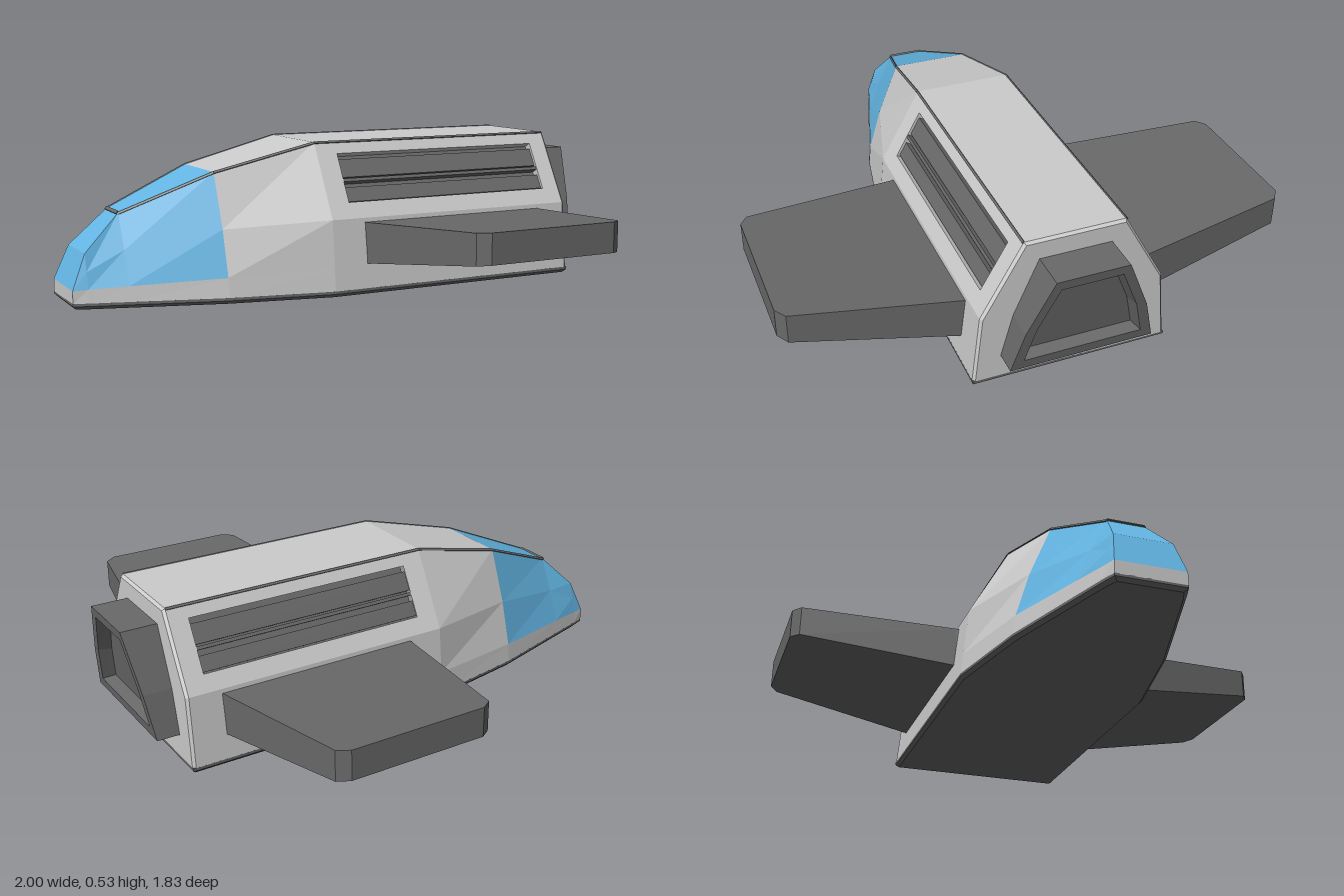
import * as THREE from 'three';

const mat = (color) => new THREE.MeshStandardMaterial({ color, flatShading: true });
const V = (x, y, z) => new THREE.Vector3(x, y, z);

function add(parent, name, geometry, material) {
  const mesh = new THREE.Mesh(geometry, material);
  mesh.name = name;
  parent.add(mesh);
  return mesh;
}

// Triangles given as a flat list of corner vectors
function fromTriangles(corners) {
  const geo = new THREE.BufferGeometry().setFromPoints(corners);
  geo.computeVertexNormals();
  return geo;
}

// Closed solid through equal-length rings, capped at both ends and turned outward
function loft(rings) {
  const t = [], n = rings[0].length, last = rings[rings.length - 1];
  for (let i = 0; i < rings.length - 1; i++) {
    for (let j = 0; j < n; j++) {
      const k = (j + 1) % n;
      const a = rings[i][j], b = rings[i + 1][j], c = rings[i + 1][k], d = rings[i][k];
      t.push(a, b, c, a, c, d);
    }
  }
  for (let j = 1; j < n - 1; j++) {
    t.push(rings[0][0], rings[0][j], rings[0][j + 1]);
    t.push(last[0], last[j + 1], last[j]);
  }
  let volume = 0;
  for (let i = 0; i < t.length; i += 3) volume += t[i].dot(t[i + 1].clone().cross(t[i + 2]));
  if (volume < 0) t.reverse();
  return fromTriangles(t);
}

// Thin square bar between two points
function rod(parent, name, a, b, radius, material) {
  const d = b.clone().sub(a);
  const bar = add(parent, name, new THREE.CylinderGeometry(radius, radius, d.length(), 4), material);
  bar.position.copy(a).add(b).multiplyScalar(0.5);
  bar.quaternion.setFromUnitVectors(V(0, 1, 0), d.normalize());
}

// Hull stations from nose to tail: x, then [half width, y] for base, sill, shoulder and roof
const STATIONS = [
  [-1.0, [0.12, 0.02], [0.12, 0.065], [0.12, 0.065], [0.12, 0.065]],
  [-0.95, [0.137, 0.02], [0.133, 0.068], [0.118, 0.125], [0.1, 0.185]],
  [-0.82, [0.176, 0.02], [0.171, 0.075], [0.124, 0.19], [0.065, 0.31]],
  [-0.5, [0.272, 0.02], [0.264, 0.09], [0.217, 0.25], [0.14, 0.44]],
  [-0.13, [0.345, 0.02], [0.337, 0.1], [0.32, 0.27], [0.175, 0.53]],
  [0.86, [0.345, 0.02], [0.337, 0.1], [0.32, 0.27], [0.175, 0.53]],
  [0.87, [0.337, 0.02], [0.329, 0.1], [0.312, 0.268], [0.17, 0.522]],
];

function buildHull(group, hullMat, glassMat) {
  const rings = STATIONS.map(([x, ...pts]) => [
    ...pts.map(([w, y]) => V(x, y, w)),
    ...pts.slice().reverse().map(([w, y]) => V(x, y, -w)),
  ]);
  const hull = [], glass = [], n = 8;
  for (let i = 0; i < rings.length - 1; i++) {
    for (let j = 0; j < n; j++) {
      if (i === 4 && (j === 2 || j === 4)) continue; // filled by the vent panels
      const k = (j + 1) % n;
      const a = rings[i][j], b = rings[i + 1][j], c = rings[i + 1][k], d = rings[i][k];
      (i < 3 && j >= 1 && j <= 5 ? glass : hull).push(a, b, c, a, c, d);
    }
  }
  const nose = rings[0], tail = rings[rings.length - 1];
  for (let j = 1; j < n - 1; j++) {
    hull.push(nose[0], nose[j], nose[j + 1], tail[0], tail[j + 1], tail[j]);
  }
  add(group, 'hull', fromTriangles(hull), hullMat);
  add(group, 'cockpitGlass', fromTriangles(glass), glassMat);
}

// Sloping upper side panel with a recessed louvred vent; s is the side (+1 or -1 in z)
function buildVent(s, hullMat, darkMat) {
  const vent = new THREE.Group();
  vent.name = s > 0 ? 'ventPanelFront' : 'ventPanelBack';
  const rise = V(0, 0.26, -0.145 * s), length = rise.length();
  const along = V(s, 0, 0), up = rise.normalize();
  const out = along.clone().cross(up);
  vent.applyMatrix4(new THREE.Matrix4().makeBasis(along, up, out).setPosition(0, 0.27, 0.32 * s));

  const rect = (Type, x0, x1, y0, y1) => new Type(
    [[x0, y0], [x1, y0], [x1, y1], [x0, y1]].map(([x, y]) => new THREE.Vector2(x * s, y)));
  const shape = rect(THREE.Shape, -0.13, 0.86, 0, length);
  shape.holes.push(rect(THREE.Path, -0.05, 0.79, 0.062, 0.25));
  const panel = new THREE.ExtrudeGeometry(shape, { depth: 0.04, bevelEnabled: false });
  add(vent, 'panel', panel.translate(0, 0, -0.04), hullMat);

  const slab = (name, y, z, h, d) =>
    add(vent, name, new THREE.BoxGeometry(0.85, h, d), darkMat).position.set(0.37 * s, y, z);
  slab('ventFloor', 0.156, -0.035, 0.2, 0.01);
  slab('ventSlat', 0.148, -0.018, 0.012, 0.03);
  slab('ventSlat', 0.196, -0.02, 0.07, 0.02);
  slab('ventSlat', 0.095, -0.02, 0.055, 0.02);
  return vent;
}

export function createModel() {
  const group = new THREE.Group();
  const hullMat = mat(0xcccccc), darkMat = mat(0x696969), glassMat = mat(0x63b5e3);

  buildHull(group, hullMat, glassMat);

  // Dark keel plate, chamfered towards the bottom
  const outline = (y, inset) => {
    const side = STATIONS.filter((st) => st[0] !== 0.86).map(([x, [w]], i, all) => {
      const dx = i === 0 ? inset : i === all.length - 1 ? -inset : 0;
      return [x + dx, (x > 0.8 ? 0.345 : w) - inset];
    });
    return [...side.map(([x, w]) => V(x, y, w)), ...side.reverse().map(([x, w]) => V(x, y, -w))];
  };
  add(group, 'keelPlate', loft([outline(0, 0.012), outline(0.012, 0), outline(0.022, 0)]), darkMat);

  for (const s of [1, -1]) {
    group.add(buildVent(s, hullMat, darkMat));

    // Roof seam from the windscreen to the tail
    for (let i = 2; i < 5; i++) {
      const [p, q] = [STATIONS[i], STATIONS[i + 1]].map(([x, , , , [w, y]]) => V(x, y - 0.003, w * s));
      rod(group, 'roofSeam', p, q, 0.006, darkMat);
    }

    // Wing: sections are z, x start, x end, bottom, top
    const sections = [
      [0.2, -0.035, 0.775, 0.09, 0.246],
      [0.33, 0.0, 0.74, 0.108, 0.255],
      [0.885, 0.087, 0.655, 0.186, 0.293],
      [0.913, 0.127, 0.615, 0.19, 0.295],
    ];
    add(group, s > 0 ? 'wingFront' : 'wingBack', loft(sections.map(([z, x0, x1, y0, y1]) =>
      [V(x0, y0, z * s), V(x1, y0, z * s), V(x1, y1, z * s), V(x0, y1, z * s)])), darkMat);
  }
  rod(group, 'windscreenBar', V(-0.82, 0.308, -0.065), V(-0.82, 0.308, 0.065), 0.009, darkMat);

  // Engine housing: raked rear face with a recessed nozzle
  const outer = [[0.25, 0.105], [0.21, 0.26], [0.125, 0.46]];
  const inner = [[0.205, 0.14], [0.172, 0.27], [0.105, 0.425]];
  const floor = [[0.19, 0.15], [0.16, 0.27], [0.098, 0.415]];
  const rake = (y) => 0.95 + 0.05 * (y - 0.105) / 0.355;
  const ring = (pts, xAt) => [
    ...pts.map(([w, y]) => V(xAt(y), y, w)),
    ...pts.slice().reverse().map(([w, y]) => V(xAt(y), y, -w)),
  ];
  add(group, 'engine', loft([
    ring(outer, () => 0.85), ring(outer, rake), ring(inner, rake), ring(floor, (y) => rake(y) - 0.045),
  ]), darkMat);

  return group;
}
